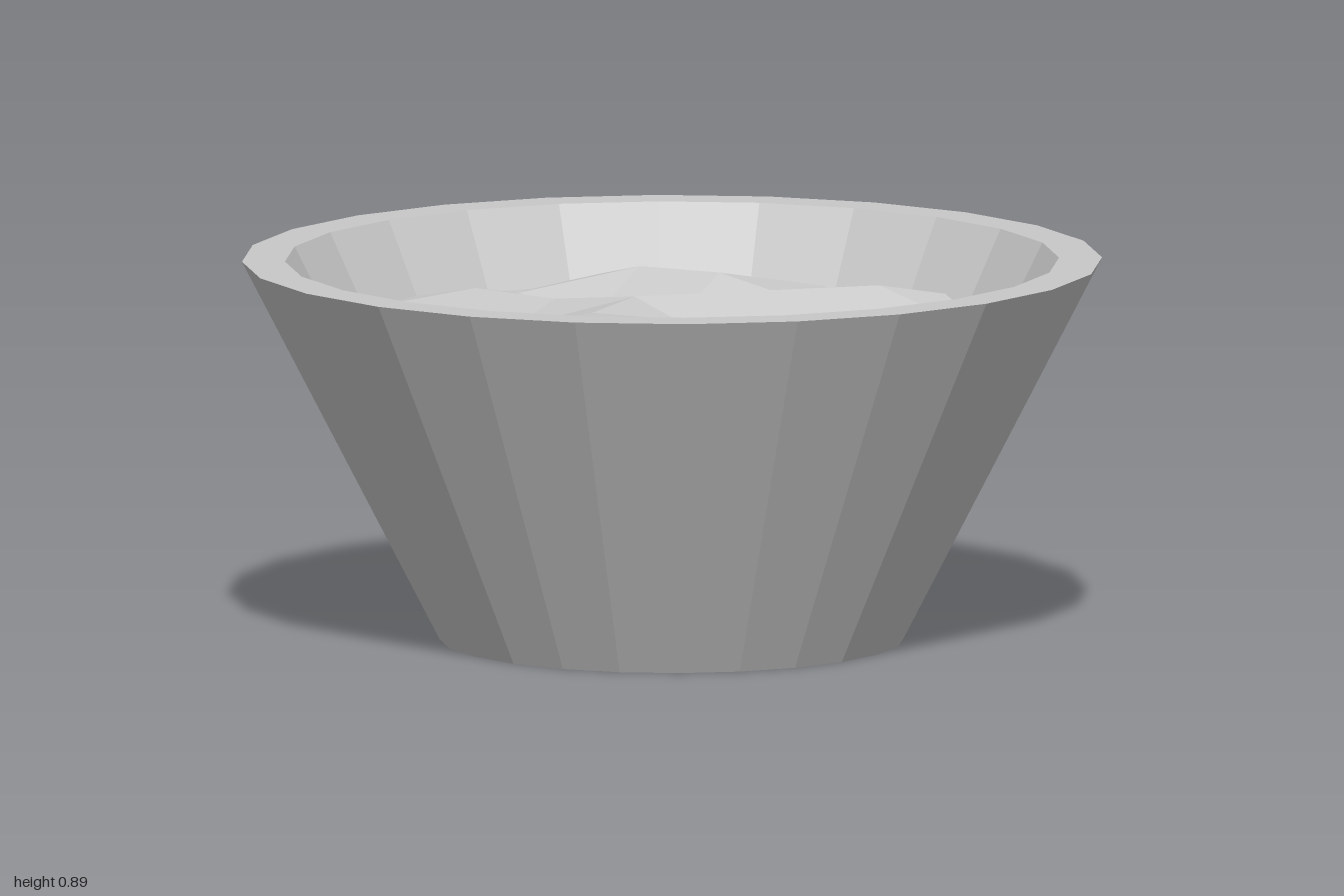
import * as THREE from 'three';

const SIDES = 24, HEIGHT = 0.89, CELL = 0.21, SOIL_Y = 0.71, WALL_SLOPE = 0.52;

// soil bumps in hundredths: one row per x column, running from back to front
const BUMPS = [
  [0, 0, 0, 0, 0, 0, 0, 0, 0],
  [0, 0, 0, 4, 0, 3, 3, 0, 0],
  [0, 5, -3, 3, -1, -2, 4, -4, 0],
  [0, 5, -3, 5, 4, 5, -5, 3, 0],
  [0, 0, 5, -4, 4, -4, 0, 5, 0],
  [0, 5, -3, -3, 5, 0, -5, 4, -3],
  [0, -2, 5, -1, 4, -5, 2, 0, 0],
  [0, 0, 0, 2, 2, -2, 0, 0, 0],
  [0, 0, 0, 0, 0, 0, 0, 0, 0],
];

// give every facet its own flat normal
function facet(geometry) {
  const flat = geometry.index ? geometry.toNonIndexed() : geometry;
  flat.deleteAttribute('uv');
  flat.computeVertexNormals();
  return flat;
}

// signed distance past one facet of the sloping inner wall
function pastWall(p, side) {
  const angle = (side + 0.5) * Math.PI * 2 / SIDES;
  const radius = 0.9 - WALL_SLOPE * (HEIGHT - p.y);
  return p.x * Math.sin(angle) + p.z * Math.cos(angle) - radius * Math.cos(Math.PI / SIDES);
}

// trim a soil polygon to the inside of the pot
function clipToPot(polygon) {
  for (let side = 0; side < SIDES; side++) {
    const kept = [];
    polygon.forEach((p, i) => {
      const q = polygon[(i + 1) % polygon.length];
      const dp = pastWall(p, side), dq = pastWall(q, side);
      if (dp <= 0) kept.push(p);
      if ((dp < 0 && dq > 0) || (dp > 0 && dq < 0)) kept.push(p.clone().lerp(q, dp / (dp - dq)));
    });
    polygon = kept;
  }
  return polygon;
}

function soilGeometry() {
  const point = (i, j) => new THREE.Vector3((i - 4) * CELL, SOIL_Y + BUMPS[i][j] / 100, (j - 4) * CELL);
  const positions = [];
  for (let i = 0; i < 8; i++) {
    for (let j = 0; j < 8; j++) {
      const a = point(i, j), b = point(i, j + 1), c = point(i + 1, j + 1), d = point(i + 1, j);
      for (const triangle of [[a, b, d], [b, c, d]]) {
        const poly = clipToPot(triangle);
        for (let k = 1; k + 1 < poly.length; k++) {
          for (const p of [poly[0], poly[k], poly[k + 1]]) positions.push(p.x, p.y, p.z);
        }
      }
    }
  }
  const geometry = new THREE.BufferGeometry();
  geometry.setAttribute('position', new THREE.Float32BufferAttribute(positions, 3));
  return geometry;
}

export function createModel() {
  const group = new THREE.Group();
  group.name = 'pottedSoil';
  const grey = new THREE.MeshStandardMaterial({ color: 0xc8c8c8 });
  grey.name = 'light grey';

  // pot: base, outer wall, flat rim and inner wall
  const profile = [[0, 0], [0.54, 0], [1, HEIGHT], [0.9, HEIGHT], [0.9 - WALL_SLOPE * 0.29, HEIGHT - 0.29]]
    .map(([r, y]) => new THREE.Vector2(r, y));
  const pot = new THREE.Mesh(facet(new THREE.LatheGeometry(profile, SIDES)), grey);
  pot.name = 'pot';

  // lumpy soil surface
  const soil = new THREE.Mesh(facet(soilGeometry()), grey);
  soil.name = 'soil';

  group.add(pot, soil);
  return group;
}
